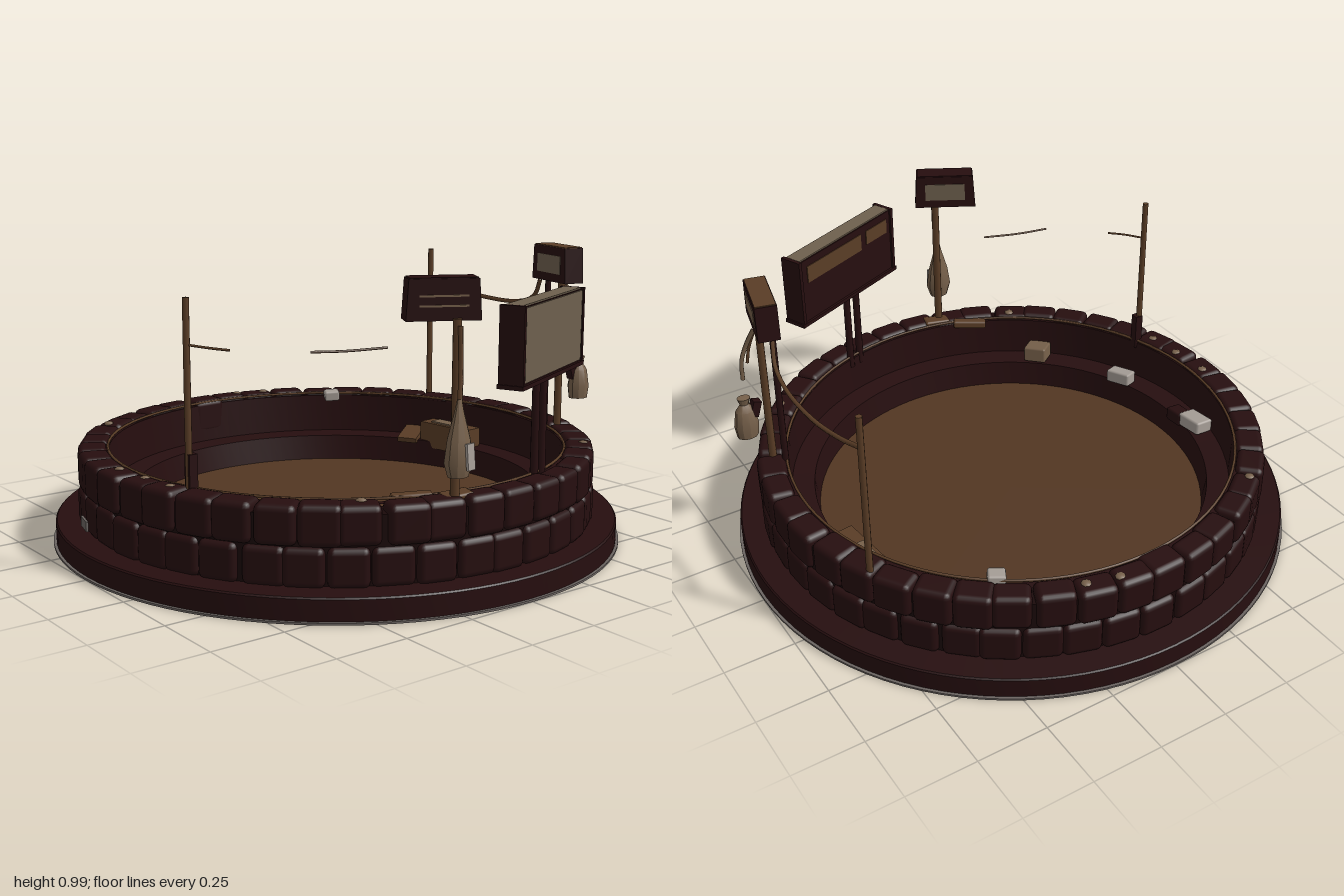
import * as THREE from 'three';
import { toCreasedNormals } from 'three/addons/utils/BufferGeometryUtils.js';
import { RoundedBoxGeometry } from 'three/addons/geometries/RoundedBoxGeometry.js';

const mat = (name, color) => {
  const m = new THREE.MeshStandardMaterial({ color });
  m.name = name;
  return m;
};
const V = (x, y, z) => new THREE.Vector3(x, y, z);
const P = (pts) => pts.map(([x, y]) => new THREE.Vector2(x, y));

export function createModel() {
  const root = new THREE.Group();
  root.name = 'arena';
  const dark = mat('dark stone', 0x260e0f);
  const grout = mat('deep grout', 0x1a0909);
  const earth = mat('earth floor', 0x523622);
  const wood = mat('brown wood', 0x5a3d26);
  const tan = mat('tan board', 0x6e604e);
  const cloth = mat('worn cloth', 0x76604a);
  const pale = mat('pale stone', 0xa59d96);
  const rimGrey = mat('grey rim', 0x6b6461);

  const add = (name, geo, material, pos = [0, 0, 0], rot = [0, 0, 0], parent = root) => {
    const m = new THREE.Mesh(geo, material);
    m.name = name;
    m.position.set(...pos);
    m.rotation.set(...rot);
    parent.add(m);
    return m;
  };
  const box = (name, size, ...rest) => add(name, new THREE.BoxGeometry(...size), ...rest);
  const lathe = (pts, n = 96) => toCreasedNormals(new THREE.LatheGeometry(P(pts), n), 0.6);
  const rope = (name, pts, r, material) => add(name,
    new THREE.TubeGeometry(new THREE.CatmullRomCurve3(pts.map((p) => V(...p))), 24, r, 6), material);
  let seed = 7;
  const rnd = () => (seed = (seed * 16807) % 2147483647) / 2147483647 - 0.5;

  // Plinth, with the grey line round its foot
  add('plinth', lathe([[0, 0.004], [0.99, 0.004], [0.99, 0.075], [0.985, 0.08], [0.88, 0.08]]), dark);
  add('footRim', lathe([[0.985, 0], [1, 0], [1, 0.007], [0.985, 0.007]]), rimGrey);

  // Core of the ring wall, and the bench stepping down inside it
  add('wallCore', lathe([[0.888, 0.07], [0.888, 0.3], [0.8, 0.3]]), grout);
  add('innerWall', lathe([[0.83, 0.315], [0.8, 0.315], [0.795, 0.17], [0.715, 0.165], [0.7, 0.06]]), dark);
  add('floor', new THREE.CylinderGeometry(0.705, 0.705, 0.01, 96), earth, [0, 0.066, 0]);
  add('innerTrim', new THREE.TorusGeometry(0.803, 0.005, 6, 96), wood, [0, 0.325, 0], [Math.PI / 2, 0, 0]);

  // Two courses of rounded blocks
  const blocks = new THREE.Group();
  blocks.name = 'wallBlocks';
  root.add(blocks);
  const count = 42;
  for (let row = 0; row < 2; row++) {
    for (let i = 0; i < count; i++) {
      const a = ((i + row * 0.3 + rnd() * 0.15) / count) * Math.PI * 2;
      const h = row ? 0.13 + rnd() * 0.008 : 0.128;
      const depth = row ? 0.1 + rnd() * 0.016 : 0.09;
      const r = 0.905 + rnd() * 0.008 - depth / 2;
      add('block', new RoundedBoxGeometry(0.133 + rnd() * 0.008, h, depth, 2, 0.022), dark,
        [Math.sin(a) * r, row ? 0.267 : 0.138, Math.cos(a) * r], [0, a, 0], blocks);
    }
  }

  // Upright with a round section
  const pole = (name, x, z, y0, y1, r, material) =>
    add(name, new THREE.CylinderGeometry(r * 0.9, r, y1 - y0, 10), material, [x, (y0 + y1) / 2, z]);

  // Large board on twin posts
  const sign = new THREE.Group();
  sign.name = 'board';
  sign.position.set(0.285, 0.76, 0.73);
  sign.rotation.y = 0.41;
  root.add(sign);
  box('boardCase', [0.52, 0.25, 0.07], dark, [0, 0, 0], [0, 0, 0], sign);
  box('boardFace', [0.49, 0.235, 0.006], tan, [0, 0.005, 0.037], [0, 0, 0], sign);
  box('boardTop', [0.5, 0.006, 0.06], tan, [0, 0.127, 0], [0, 0, 0], sign);
  box('boardSill', [0.54, 0.014, 0.088], dark, [0, -0.125, 0], [0, 0, 0], sign);
  for (const s of [-1, 1]) box('boardSideLip', [0.014, 0.26, 0.084], dark, [s * 0.258, 0, 0], [0, 0, 0], sign);
  box('backPatch', [0.3, 0.065, 0.004], wood, [0.07, 0.065, -0.036], [0, 0, 0], sign);
  box('backPatch', [0.12, 0.055, 0.004], wood, [-0.17, 0.07, -0.036], [0, 0, 0], sign);
  pole('boardPost', 0.21, 0.78, 0.28, 0.64, 0.014, dark);
  pole('boardPost', 0.257, 0.765, 0.28, 0.64, 0.014, dark);

  // Small box signs, narrower at the top
  const smallSign = (name, x, z, turn, w, topMat) => {
    const g = new THREE.Group();
    g.name = name;
    g.position.set(x, 0.925, z);
    g.rotation.y = turn;
    root.add(g);
    const geo = new THREE.BoxGeometry(w, 0.125, 0.075);
    const p = geo.attributes.position;
    for (let i = 0; i < p.count; i++) if (p.getY(i) > 0) p.setX(i, p.getX(i) * 0.93);
    geo.computeVertexNormals();
    add('signCase', geo, dark, [0, 0, 0], [0, 0, 0], g);
    box('signTop', [w * 0.9, 0.004, 0.07], topMat, [0, 0.064, 0], [0, 0, 0], g);
    return g;
  };
  const left = smallSign('frontSign', -0.195, 0.78, -0.5, 0.23, dark);
  for (const y of [0.012, -0.018]) box('wornStripe', [0.15, 0.006, 0.004], cloth, [0, y, 0.038], [0, 0, 0], left);
  const right = smallSign('sideSign', 0.77, 0.315, 1.34, 0.22, wood);
  box('wornPanel', [0.15, 0.06, 0.004], cloth, [0, 0.005, 0.038], [0, 0, 0], right);
  for (const g of [left, right]) box('backPanel', [0.15, 0.065, 0.004], tan, [0, 0, -0.038], [0, 0, 0], g);

  // Sign posts and the two tall rope poles
  pole('frontSignPost', -0.18, 0.835, 0.28, 0.87, 0.015, wood);
  pole('sideSignPost', 0.787, 0.32, 0.28, 0.87, 0.014, wood);
  pole('sideSignPost', 0.755, 0.285, 0.28, 0.87, 0.012, dark);
  pole('ropePole', -0.77, 0.27, 0.15, 0.92, 0.012, wood);
  pole('ropePole', 0.78, -0.4, 0.15, 0.92, 0.012, wood);
  box('poleFoot', [0.03, 0.14, 0.03], dark, [-0.763, 0.365, 0.272]);

  // Hanging sacks with their cords
  add('frontSack', lathe([[0, 0], [0.036, 0.005], [0.05, 0.05], [0.04, 0.12], [0.017, 0.2], [0.008, 0.24]], 10),
    cloth, [-0.212, 0.4, 0.885]).scale.z = 0.75;
  box('sackPatch', [0.035, 0.08, 0.008], pale, [-0.198, 0.47, 0.922], [-0.1, 0.2, 0]);
  rope('sackCord', [[-0.21, 0.62, 0.885], [-0.19, 0.72, 0.865], [-0.18, 0.85, 0.85]], 0.008, wood);
  add('sideSack', lathe([[0, 0], [0.038, 0.005], [0.044, 0.05], [0.034, 0.11], [0.016, 0.135], [0.024, 0.16], [0, 0.162]], 10),
    cloth, [0.856, 0.42, 0.355]).scale.z = 0.8;
  box('sackFlap', [0.03, 0.06, 0.03], dark, [0.822, 0.53, 0.35], [0, 0, 0.3]);
  rope('sideCord', [[0.81, 0.87, 0.3], [0.835, 0.8, 0.325], [0.855, 0.74, 0.33], [0.858, 0.67, 0.33]], 0.008, cloth);
  rope('sideCord', [[0.8, 0.87, 0.31], [0.82, 0.78, 0.34], [0.83, 0.72, 0.345]], 0.006, wood);

  // Sagging rope, and the broken ends of the other one
  rope('sideRope', [[0.78, 0.86, 0.22], [0.8, 0.79, 0.17], [0.81, 0.757, 0.07], [0.81, 0.755, -0.12],
    [0.795, 0.775, -0.28], [0.78, 0.805, -0.4]], 0.008, wood);
  rope('brokenRope', [[-0.77, 0.775, 0.27], [-0.73, 0.77, 0.34], [-0.69, 0.766, 0.39]], 0.004, wood);
  rope('brokenRope', [[-0.51, 0.764, 0.55], [-0.4, 0.76, 0.58], [-0.27, 0.763, 0.62]], 0.004, wood);

  // Crates and broken pieces left on the bench
  box('crate', [0.085, 0.1, 0.24], wood, [0.715, 0.19, -0.195], [0, 0.1, 0]);
  box('crateCloth', [0.05, 0.006, 0.1], cloth, [0.71, 0.243, -0.22], [0, 0.1, 0]);
  box('brokenPlank', [0.11, 0.02, 0.08], wood, [0.655, 0.18, -0.36], [0, 0.5, 0.3]);
  const rubble = [
    [-0.73, 0.19, -0.16, 0.075, 0.05, 0.11, 0.05, pale], [-0.68, 0.19, 0.25, 0.06, 0.05, 0.1, 0.4, pale],
    [0.455, 0.32, -0.635, 0.06, 0.04, 0.055, -0.5, pale], [-0.49, 0.2, 0.57, 0.09, 0.06, 0.09, 0.7, cloth],
    [-0.715, 0.18, -0.08, 0.06, 0.05, 0.08, 0, dark], [-0.27, 0.318, 0.74, 0.13, 0.03, 0.04, -0.5, wood],
    [-0.16, 0.325, 0.82, 0.1, 0.02, 0.06, -0.2, wood],
  ];
  for (const [x, y, z, w, h, d, turn, m] of rubble) {
    add('rubble', new RoundedBoxGeometry(w, h, d, 1, 0.008), m, [x, y, z], [0.08, turn, 0.08]);
  }

  // Pebbles on the wall top and a chipped spot on its outside
  const pebbles = [[-0.84, -0.05], [-0.83, 0.1], [-0.815, 0.23], [0.13, -0.85], [0.24, -0.82], [-0.55, -0.67], [0.63, 0.6], [-0.44, 0.71]];
  for (const [x, z] of pebbles) {
    add('pebble', new THREE.SphereGeometry(0.018, 8, 6), cloth, [x, 0.33, z]).scale.y = 0.5;
  }
  box('chippedSpot', [0.08, 0.035, 0.008], rimGrey, [-0.881, 0.11, -0.232], [0, -1.83, 0]);

  return root;
}
